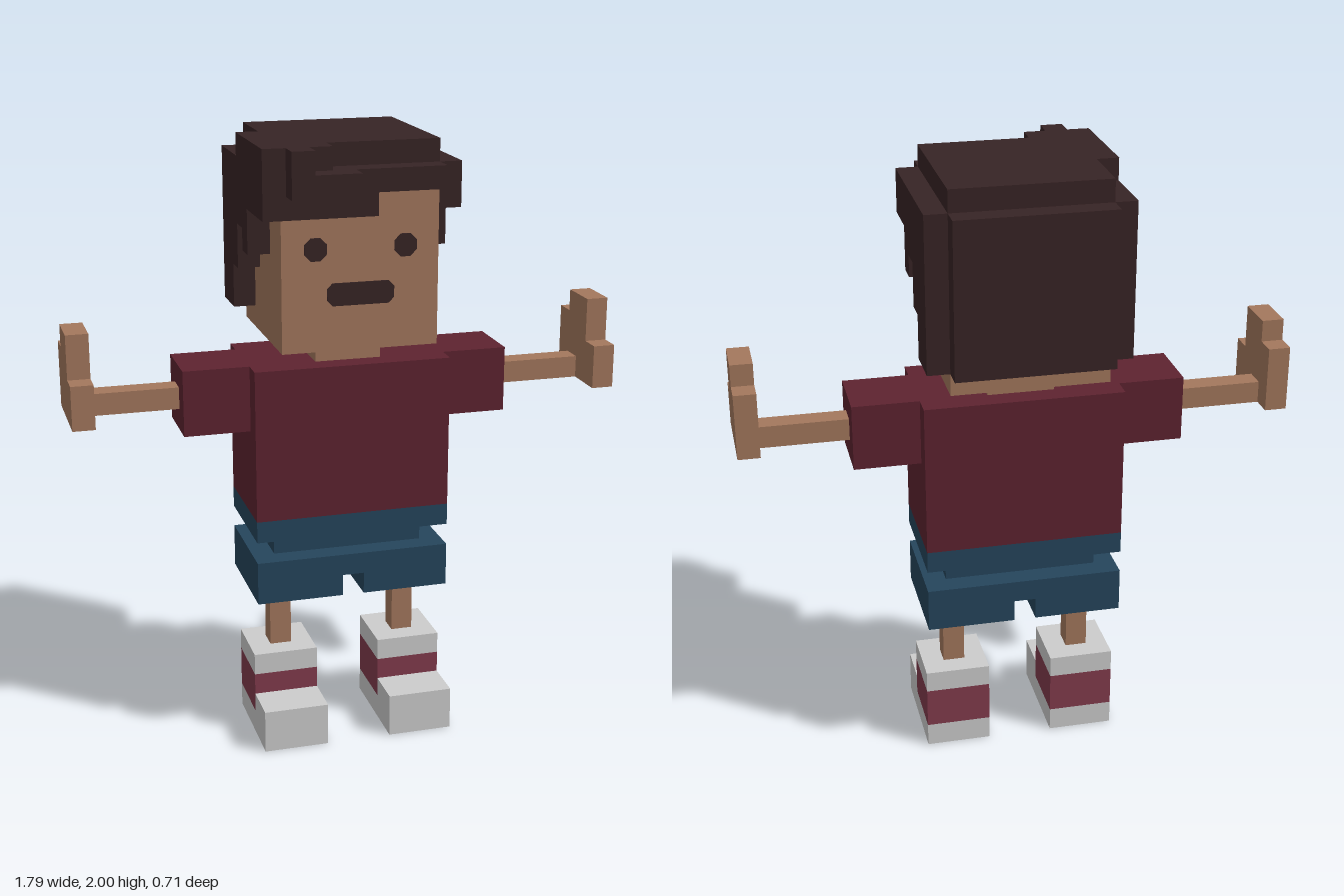
import * as THREE from 'three';

const U = 1 / 14; // one block

const mat = (name, color) => {
  const m = new THREE.MeshStandardMaterial({ color });
  m.name = name;
  return m;
};

export function createModel() {
  const root = new THREE.Group();
  root.name = 'blockBoy';
  const skin = mat('skin', 0xa4785d);
  const hair = mat('darkBrown', 0x372425);
  const shirt = mat('maroon', 0x5e2330);
  const denim = mat('denimBlue', 0x25455c);
  const white = mat('shoeWhite', 0xcdcdcd);
  const stripe = mat('shoeRed', 0x823b4d);

  // Box given by its limits, in blocks
  const box = (parent, name, m, x0, x1, y0, y1, z0, z1) => {
    const g = new THREE.BoxGeometry(Math.abs(x1 - x0) * U, (y1 - y0) * U, (z1 - z0) * U);
    const mesh = new THREE.Mesh(g, m);
    mesh.position.set((x0 + x1) / 2 * U, (y0 + y1) / 2 * U, (z0 + z1) / 2 * U);
    mesh.name = name;
    parent.add(mesh);
  };
  const group = (name) => {
    const g = new THREE.Group();
    g.name = name;
    root.add(g);
    return g;
  };
  // Thin plate with cut corners on the face
  const plate = (name, x, y, w, h, c) => {
    const a = w / 2, b = h / 2;
    const pts = [[-a + c, -b], [a - c, -b], [a, -b + c], [a, b - c], [a - c, b], [-a + c, b], [-a, b - c], [-a, -b + c]];
    const s = new THREE.Shape(pts.map(([px, py]) => new THREE.Vector2(px * U, py * U)));
    const mesh = new THREE.Mesh(new THREE.ExtrudeGeometry(s, { depth: 0.004, bevelEnabled: false }), hair);
    mesh.position.set(x * U, y * U, 3 * U);
    mesh.name = name;
    root.add(mesh);
  };

  // Limbs, mirrored
  for (const [side, s] of [['left', 1], ['right', -1]]) {
    const shoe = group(side + 'Shoe');
    box(shoe, 'sole', white, s * 1.5, s * 4.5, 0, 1.1, -2, 1);
    box(shoe, 'toe', white, s * 1.5, s * 4.5, 0, 2, 1, 3);
    box(shoe, 'stripe', stripe, s * 1.5, s * 4.5, 1.1, 3, -2, 1);
    box(shoe, 'cuff', white, s * 1.5, s * 4.5, 3, 4, -2, 1);
    box(root, side + 'Leg', skin, s * 2.5, s * 3.5, 4, 7, -1, 0);
    box(root, side + 'ShortsLeg', denim, s * 0.5, s * 4.5, 7, 8, -3, 2);
    box(root, side + 'Sleeve', shirt, s * 4.5, s * 7.5, 15, 18, -2, 1);
    box(root, side + 'Arm', skin, s * 7.5, s * 11.5, 16, 17, -1, 0);
    const hand = group(side + 'Hand');
    box(hand, 'palm', skin, s * 11.5, s * 12.5, 16, 18, -2, 2);
    box(hand, 'fingers', skin, s * 11.5, s * 12.5, 18, 20, -1, 1);
    box(hand, 'shortFinger', skin, s * 11.5, s * 12.5, 18, 19, -2, -1);
    plate(side + 'Eye', s * 2, 23.5, 1, 1, 0.29);
  }

  // Shorts and shirt
  const shorts = group('shorts');
  box(shorts, 'hem', denim, -4.5, 4.5, 8, 9, -3, 2);
  box(shorts, 'gather', denim, -3.5, 3.5, 9, 10, -2, 1);
  box(shorts, 'waistband', denim, -4.5, 4.5, 10, 11, -3, 2);
  box(root, 'shirt', shirt, -4.5, 4.5, 11, 18, -3, 2);

  // Head
  box(root, 'neck', skin, -1.5, 1.5, 18, 19, -2, 1);
  box(root, 'head', skin, -3.5, 3.5, 19, 26, -4, 3);
  plate('mouth', 0, 21.5, 3, 1, 0.25);

  // Hair cap and back
  const h = group('hair');
  box(h, 'cap', hair, -3.5, 3.5, 26, 28, -4, 3);
  box(h, 'back', hair, -3.5, 3.5, 20, 27, -5, -4);

  // Jagged side hair: z range and lower edge of each lock
  const locks = [[-4, -2, 20], [-2, -1, 22], [-1, 0, 24], [0, 1, 23], [1, 3, 25]];
  for (const [z0, z1, y] of locks) {
    box(h, 'leftLock', hair, 3.5, 4.5, y, 27, z0, z1);
    box(h, 'rightLock', hair, -4.5, -3.5, y, z0 < -1 ? 27 : 28, z0, z1);
  }

  // Fringe and tuft
  box(h, 'fringe', hair, -4.5, 3.5, 26, 27, 3, 4);
  box(h, 'fringeTop', hair, -4.5, -1.5, 27, 28, 3, 4);
  box(h, 'fringeDrop', hair, -4.5, 0.5, 25, 26, 3, 4);
  box(h, 'tuft', hair, -3.5, -0.5, 26, 27, 4, 5);
  box(h, 'tuftTip', hair, -3.5, -2.5, 27, 28, 4, 5);

  return root;
}
